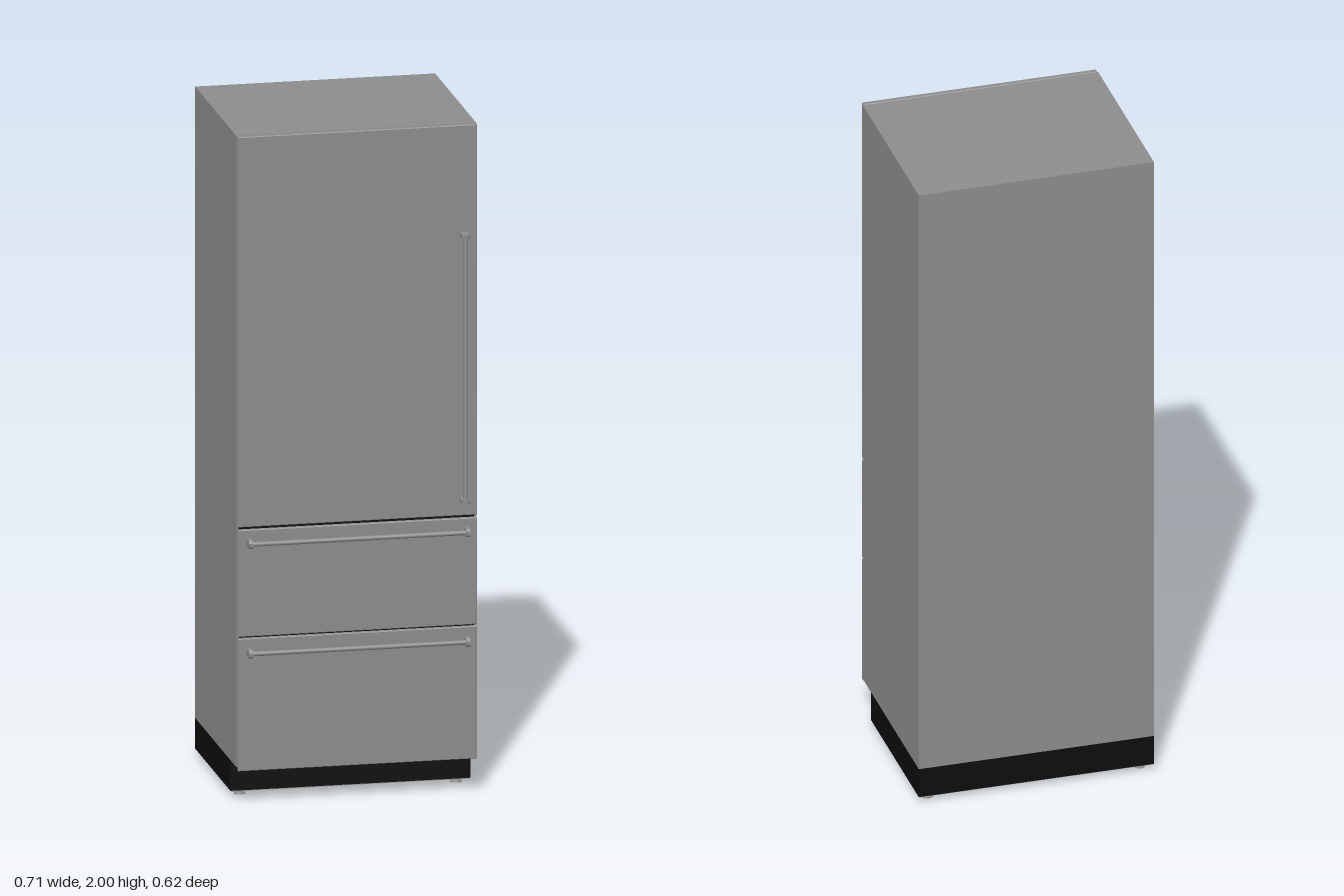
import * as THREE from 'three';

const steel = new THREE.MeshStandardMaterial({ color: 0x8c8c8c });
steel.name = 'steel grey';
const black = new THREE.MeshStandardMaterial({ color: 0x0d0d0d });
black.name = 'plinth black';

function add(parent, name, geometry, material, x = 0, y = 0, z = 0) {
  const mesh = new THREE.Mesh(geometry, material);
  mesh.name = name;
  mesh.position.set(x, y, z);
  parent.add(mesh);
  return mesh;
}

// Box given by its limits on each axis
function block(parent, name, material, [x0, x1], [y0, y1], [z0, z1]) {
  return add(parent, name, new THREE.BoxGeometry(x1 - x0, y1 - y0, z1 - z0), material,
    (x0 + x1) / 2, (y0 + y1) / 2, (z0 + z1) / 2);
}

// Front panel with a finely bevelled edge
function frontPanel(parent, name, y0, y1) {
  const b = 0.002, w = 0.353 - b;
  const s = new THREE.Shape();
  s.moveTo(-w, y0 + b);
  s.lineTo(w, y0 + b);
  s.lineTo(w, y1 - b);
  s.lineTo(-w, y1 - b);
  const g = new THREE.ExtrudeGeometry(s, {
    depth: 0.016 - 2 * b, bevelEnabled: true, bevelSize: b, bevelThickness: b, bevelSegments: 1,
  });
  add(parent, name, g, steel, 0, 0, 0.257 + b);
}

// Round bar along x held by two standoffs with chamfered tips
function handle(name, length) {
  const group = new THREE.Group();
  group.name = name;
  const bar = add(group, 'handleBar', new THREE.CylinderGeometry(0.0068, 0.0068, length - 0.012, 20), steel, 0, 0, 0.025);
  bar.rotation.z = Math.PI / 2;
  const h = 0.012, d = 0.038, c = 0.007;
  const s = new THREE.Shape();
  s.moveTo(-h, 0);
  s.lineTo(h, 0);
  s.lineTo(h, d - c);
  s.lineTo(h - c, d);
  s.lineTo(c - h, d);
  s.lineTo(-h, d - c);
  const post = new THREE.ExtrudeGeometry(s, { depth: 0.012, bevelEnabled: false });
  post.translate(0, 0, -0.006);
  // Profile depth turns to face the front, thickness runs along the bar
  post.applyMatrix4(new THREE.Matrix4().set(0, 0, 1, 0, 1, 0, 0, 0, 0, 1, 0, 0, 0, 0, 0, 1));
  for (const side of [-1, 1]) add(group, 'handlePost', post, steel, side * (length / 2 - 0.006), 0, 0);
  return group;
}

export function createModel() {
  const model = new THREE.Group();
  model.name = 'refrigerator';

  // Cabinet and recessed seal behind the fronts
  block(model, 'cabinet', steel, [-0.355, 0.355], [0.11, 2], [-0.315, 0.254]);
  block(model, 'doorSeal', black, [-0.348, 0.348], [0.115, 1.993], [0.253, 0.2575]);

  // Door and two drawers
  frontPanel(model, 'upperDoor', 0.832, 2);
  frontPanel(model, 'middleDrawer', 0.504, 0.823);
  frontPanel(model, 'lowerDrawer', 0.102, 0.498);

  // Handles
  const doorHandle = handle('doorHandle', 0.805);
  doorHandle.rotation.z = Math.PI / 2;
  doorHandle.position.set(0.314, 1.277, 0.272);
  model.add(doorHandle);
  for (const [name, y] of [['middleDrawerHandle', 0.786], ['lowerDrawerHandle', 0.458]]) {
    const h = handle(name, 0.655);
    h.position.set(-0.001, y, 0.272);
    model.add(h);
  }

  // Plinth with a grey underside
  block(model, 'plinth', black, [-0.355, 0.355], [0.018, 0.11], [-0.315, 0.172]);
  block(model, 'plinthUnderside', steel, [-0.352, 0.352], [0.015, 0.018], [-0.312, 0.169]);

  // Levelling feet
  for (const x of [-0.32, 0.32]) for (const z of [-0.282, 0.136]) {
    const foot = new THREE.Group();
    foot.name = 'foot';
    foot.position.set(x, 0, z);
    add(foot, 'footPad', new THREE.CylinderGeometry(0.015, 0.017, 0.007, 20), steel, 0, 0.0035, 0);
    add(foot, 'footStem', new THREE.CylinderGeometry(0.007, 0.007, 0.01, 12), steel, 0, 0.011, 0);
    model.add(foot);
  }
  return model;
}
